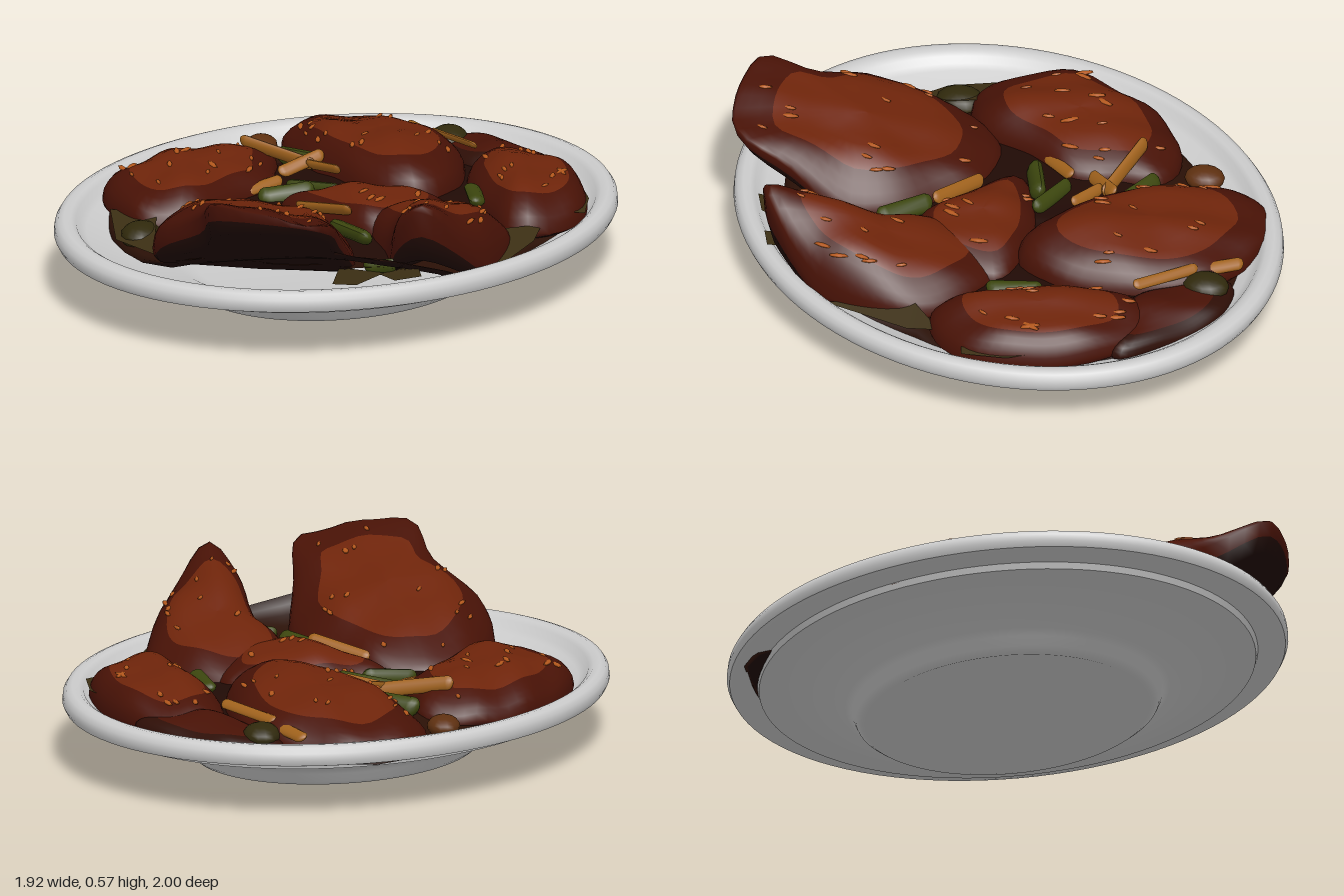
import * as THREE from 'three';
import { mergeGeometries, toCreasedNormals } from 'three/addons/utils/BufferGeometryUtils.js';

const mat = (color, extra = {}) => new THREE.MeshStandardMaterial({ color, ...extra });
const PALE = mat(0xcccccc);
const GLAZE = mat(0x6e240a), CRUST = mat(0x481206), DARK = mat(0x200a05);
const FLECK = mat(0xb4581c), GINGER = mat(0xa0621c), GREEN = mat(0x3c460e);
const OLIVE = mat(0x30290c), LEAF = mat(0x3c2f14, { side: THREE.DoubleSide });

function mesh(name, geometry, material) {
  const m = new THREE.Mesh(geometry, material);
  m.name = name;
  return m;
}

let seed = 7;
const rand = () => (seed = (seed * 16807) % 2147483647) / 2147483647;
const lump = (x, z) => Math.sin(x * 17 + z * 5) * Math.cos(z * 13 - x * 4) * 0.6 + Math.sin(x * 31 - z * 9) * 0.4;

// Oval dish: a lathed profile, stretched along a diagonal
function makePlate() {
  const profile = [
    [0, 0.005], [0.49, 0.005], [0.505, 0], [0.52, 0.003], [0.54, 0.018], [0.555, 0.05], [0.58, 0.07],
    [0.77, 0.14], [0.885, 0.157], [0.892, 0.18], [0.965, 0.188], [0.99, 0.195], [1, 0.215], [0.997, 0.24],
    [0.985, 0.258], [0.965, 0.265], [0.94, 0.262], [0.922, 0.25], [0.908, 0.228], [0.885, 0.215],
    [0.77, 0.175], [0.58, 0.105], [0.54, 0.085], [0.5, 0.075], [0, 0.075],
  ].map(([r, y]) => new THREE.Vector2(r, y));
  const plate = mesh('plate', toCreasedNormals(new THREE.LatheGeometry(profile, 96), 0.75), PALE);
  plate.scale.set(1.06, 1, 0.893);
  plate.rotation.y = 0.9;
  return plate;
}

// Lumpy domed body over a top outline of [x, z] points.
// The crest runs from y = front at the largest z to y = back at the smallest, sagging by the
// power curve; tilt leans it along x.
function makePiece(name, outline, { front, back, tilt = 0, curve = 1.2, bottom = 0.2, flecks = 0,
  rough = 0.014, mats = [GLAZE, CRUST, DARK] }) {
  const N = 48;
  const area = outline.reduce((s, [x, z], i) => {
    const [x2, z2] = outline[(i + 1) % outline.length];
    return s + x * z2 - x2 * z;
  }, 0);
  const pts = (area > 0 ? [...outline].reverse() : outline).map(([x, z]) => new THREE.Vector3(x, 0, z));
  const rim = new THREE.CatmullRomCurve3(pts, true, 'centripetal').getSpacedPoints(N).slice(0, N);
  const c = rim.reduce((s, p) => s.add(p), new THREE.Vector3()).divideScalar(N);
  const zs = rim.map((p) => p.z), z0 = Math.min(...zs), z1 = Math.max(...zs);

  // [scale of outline, share of dome height]; the last rings turn underneath
  const rings = [];
  for (const t of [0, 0.15, 0.3, 0.45, 0.58, 0.7, 0.8, 0.88, 0.94, 0.98, 1]) {
    rings.push([t, Math.sqrt(1 - Math.pow(t, 2.6))]);
  }
  const topRings = rings.length;
  rings.push([0.985, -0.5], [0.93, -1], [0, -1]);

  const pos = [], index = [[], [], []];
  rings.forEach(([t, h]) => {
    rim.forEach((p) => {
      const x = c.x + (p.x - c.x) * t, z = c.z + (p.z - c.z) * t;
      const along = Math.pow(Math.max(0, (z - z0) / (z1 - z0)), curve);
      const top = THREE.MathUtils.lerp(back, front, along) + tilt * (x - c.x) * along;
      const low = Math.max(bottom, 0.27 + (z - 0.66) * 0.67);
      const share = 0.15 + 0.55 * THREE.MathUtils.smoothstep(z, 0.5, 0.92);
      const edge = low + Math.max(0.01, top - low) * share;
      const y = h >= 0 ? edge + (top - edge) * h + lump(x, z) * rough : edge + (edge - low) * h;
      pos.push(x, y, z);
    });
  });
  for (let i = 0; i < rings.length - 1; i++) {
    const part = index[i < 5 ? 0 : i < topRings ? 1 : 2];
    for (let j = 0; j < N; j++) {
      const a = i * N + j, b = i * N + (j + 1) % N;
      part.push(a, a + N, b + N, a, b + N, b);
    }
  }
  const whole = new THREE.BufferGeometry();
  whole.setAttribute('position', new THREE.Float32BufferAttribute(pos, 3));
  whole.setIndex(index.flat());
  whole.computeVertexNormals();

  const group = new THREE.Group();
  group.name = name;
  ['Glaze', 'Crust', 'Underside'].forEach((label, k) => {
    const g = new THREE.BufferGeometry();
    g.setAttribute('position', whole.attributes.position);
    g.setAttribute('normal', whole.attributes.normal);
    g.setIndex(index[k]);
    group.add(mesh(name + label, g, mats[k]));
  });

  // Small bright flecks resting on the glaze
  const spots = [];
  for (let k = 0; k < flecks; k++) {
    const v = ((2 + Math.floor(rand() * 5)) * N + Math.floor(rand() * N)) * 3;
    const s = 0.6 + rand() * 0.6;
    spots.push(new THREE.SphereGeometry(1, 6, 4).scale(0.01 * s, 0.006, 0.034 * s)
      .rotateY(rand() - 0.5).translate(pos[v], pos[v + 1], pos[v + 2]));
  }
  if (spots.length) group.add(mesh(name + 'Flecks', mergeGeometries(spots), FLECK));
  return group;
}

// Rounded stick between two points, bowed sideways, flattened by the given factor
function makeStick(name, [x0, y0, z0], [x1, y1, z1], r, flat, material) {
  const d = new THREE.Vector3(x1 - x0, y1 - y0, z1 - z0);
  const g = new THREE.CapsuleGeometry(r, Math.max(0.01, d.length() - 2 * r), 4, 10);
  g.scale(1, 1, flat);
  const p = g.attributes.position;
  for (let i = 0; i < p.count; i++) p.setX(i, p.getX(i) + r * 0.5 * Math.cos(p.getY(i) * Math.PI / d.length()));
  g.computeVertexNormals();
  const m = mesh(name, g, material);
  m.position.set((x0 + x1) / 2, (y0 + y1) / 2, (z0 + z1) / 2);
  m.quaternion.setFromUnitVectors(new THREE.Vector3(0, 1, 0), d.normalize());
  return m;
}

export function createModel() {
  const model = new THREE.Group();
  model.name = 'plateOfGlazedChicken';
  model.add(makePlate());

  // Dark sauce filling the gaps between the pieces
  model.add(makePiece('sauceBed', [
    [-0.8, 0.1], [-0.7, 0.38], [-0.52, 0.58], [-0.2, 0.72], [0.1, 0.78], [0.3, 0.72], [0.5, 0.64], [0.65, 0.4],
    [0.73, 0.15], [0.84, 0], [0.82, -0.3], [0.68, -0.6], [0.45, -0.82], [0.15, -0.89], [-0.16, -0.9],
    [-0.3, -0.72], [-0.5, -0.54], [-0.7, -0.38], [-0.8, -0.15],
  ], { front: 0.25, back: 0.25, bottom: 0.17, rough: 0.01, mats: [DARK, mat(0x2a1006), DARK] }));

  // Chicken pieces
  model.add(makePiece('frontLeftDrumstick', [
    [-0.57, 0.5], [-0.5, 0.23], [-0.39, 0.11], [-0.18, 0.11], [-0.04, 0.23], [0.07, 0.34], [0.15, 0.53],
    [0.13, 0.75], [0.12, 0.93], [0.05, 0.98], [-0.18, 0.985], [-0.3, 0.94], [-0.36, 0.78], [-0.53, 0.63],
  ], { front: 0.595, back: 0.34, tilt: -0.2, curve: 1.3, flecks: 16 }));
  model.add(makePiece('frontRightDrumstick', [
    [0.14, 0.11], [0.29, -0.05], [0.55, 0.05], [0.65, 0.2], [0.63, 0.5], [0.53, 0.69], [0.42, 0.785],
    [0.32, 0.69], [0.24, 0.42], [0.17, 0.29],
  ], { front: 0.64, back: 0.33, curve: 1.8, flecks: 13 }));
  model.add(makePiece('sideThigh', [
    [-0.83, -0.02], [-0.79, -0.19], [-0.66, -0.4], [-0.45, -0.52], [-0.29, -0.48], [-0.26, -0.32],
    [-0.24, -0.16], [-0.34, 0], [-0.45, 0.21], [-0.62, 0.27], [-0.71, 0.2],
  ], { front: 0.37, back: 0.34, flecks: 14 }));
  model.add(makePiece('backThigh', [
    [-0.3, -0.74], [-0.16, -0.92], [0.08, -0.88], [0.26, -0.77], [0.37, -0.55], [0.39, -0.26], [0.3, -0.1],
    [0.16, -0.1], [-0.03, -0.26], [-0.21, -0.48],
  ], { front: 0.44, back: 0.32, flecks: 16 }));
  model.add(makePiece('sideWing', [
    [0.4, -0.4], [0.42, -0.56], [0.56, -0.64], [0.74, -0.5], [0.83, -0.32], [0.86, -0.05], [0.74, 0.11],
    [0.64, 0.13], [0.53, -0.03], [0.44, -0.24],
  ], { front: 0.37, back: 0.34, flecks: 13 }));
  model.add(makePiece('middlePiece', [
    [-0.2, 0], [0, -0.1], [0.2, -0.12], [0.4, -0.06], [0.36, 0.2], [0.2, 0.3], [0.05, 0.24], [-0.08, 0.13],
  ], { front: 0.375, back: 0.33, flecks: 8 }));
  model.add(makePiece('backScrap', [
    [0.2, -0.84], [0.38, -0.86], [0.58, -0.72], [0.72, -0.54], [0.5, -0.5], [0.36, -0.55],
  ], { front: 0.3, back: 0.265, mats: [CRUST, mat(0x2e0e06), DARK] }));

  // Ginger strips
  [
    [[-0.4, 0.34, -0.4], [-0.12, 0.29, -0.31], 0.027], [[-0.24, 0.28, -0.24], [-0.1, 0.32, -0.36], 0.024],
    [[-0.15, 0.3, -0.3], [-0.02, 0.31, -0.22], 0.022], [[0.13, 0.265, -0.87], [0.24, 0.28, -0.71], 0.024],
    [[0.23, 0.29, -0.73], [0.41, 0.31, -0.54], 0.02], [[-0.12, 0.29, 0.12], [0.09, 0.33, 0.25], 0.025],
    [[-0.33, 0.27, -0.06], [-0.22, 0.28, -0.18], 0.022],
  ].forEach(([a, b, r]) => model.add(makeStick('gingerStrip', a, b, r, 0.5, GINGER)));

  // Green onion pieces
  [
    [[-0.28, 0.27, -0.47], [-0.08, 0.28, -0.37], 0.04], [[-0.28, 0.26, -0.03], [-0.09, 0.28, -0.09], 0.04],
    [[-0.2, 0.26, -0.17], [0, 0.28, -0.09], 0.03], [[0.03, 0.28, 0.27], [0.18, 0.29, 0.43], 0.035],
    [[0.19, 0.25, 0.6], [0.31, 0.27, 0.62], 0.03], [[0.44, 0.27, -0.22], [0.49, 0.28, -0.03], 0.03],
  ].forEach(([a, b, r]) => model.add(makeStick('greenOnion', a, b, r, 0.7, GREEN)));

  // Vegetable chunks at the rim of the sauce
  [[0.28, 0.25, -0.77, 0.075, OLIVE], [-0.64, 0.22, 0.32, 0.08, OLIVE], [-0.36, 0.24, -0.62, 0.065, mat(0x5e3010)]]
    .forEach(([x, y, z, r, material]) => {
      const m = mesh('vegetableChunk', new THREE.SphereGeometry(r, 14, 10), material);
      m.position.set(x, y, z);
      m.scale.set(0.9, 0.6, 1.1);
      model.add(m);
    });

  // Thin leaves between the drumsticks and along the edges
  [
    [[0.1, 0.23, 0.58], [0.12, 0.27, 0.87], [0.2, 0.26, 0.84], [0.27, 0.24, 0.64]],
    [[0.24, 0.23, 0.62], [0.33, 0.27, 0.8], [0.42, 0.28, 0.77], [0.38, 0.26, 0.6]],
    [[-0.78, 0.24, 0.12], [-0.72, 0.22, 0.38], [-0.56, 0.23, 0.54], [-0.6, 0.27, 0.22]],
    [[0.62, 0.27, 0.2], [0.64, 0.23, 0.52], [0.73, 0.23, 0.2], [0.74, 0.25, 0.08]],
    [[0.82, 0.27, -0.3], [0.84, 0.265, -0.02], [0.875, 0.26, -0.03], [0.865, 0.26, -0.19]],
  ].forEach((corners) => {
    const g = new THREE.BufferGeometry();
    g.setAttribute('position', new THREE.Float32BufferAttribute(corners.flat(), 3));
    g.setIndex([0, 1, 2, 0, 2, 3]);
    g.computeVertexNormals();
    model.add(mesh('leaf', g, LEAF));
  });

  return model;
}
